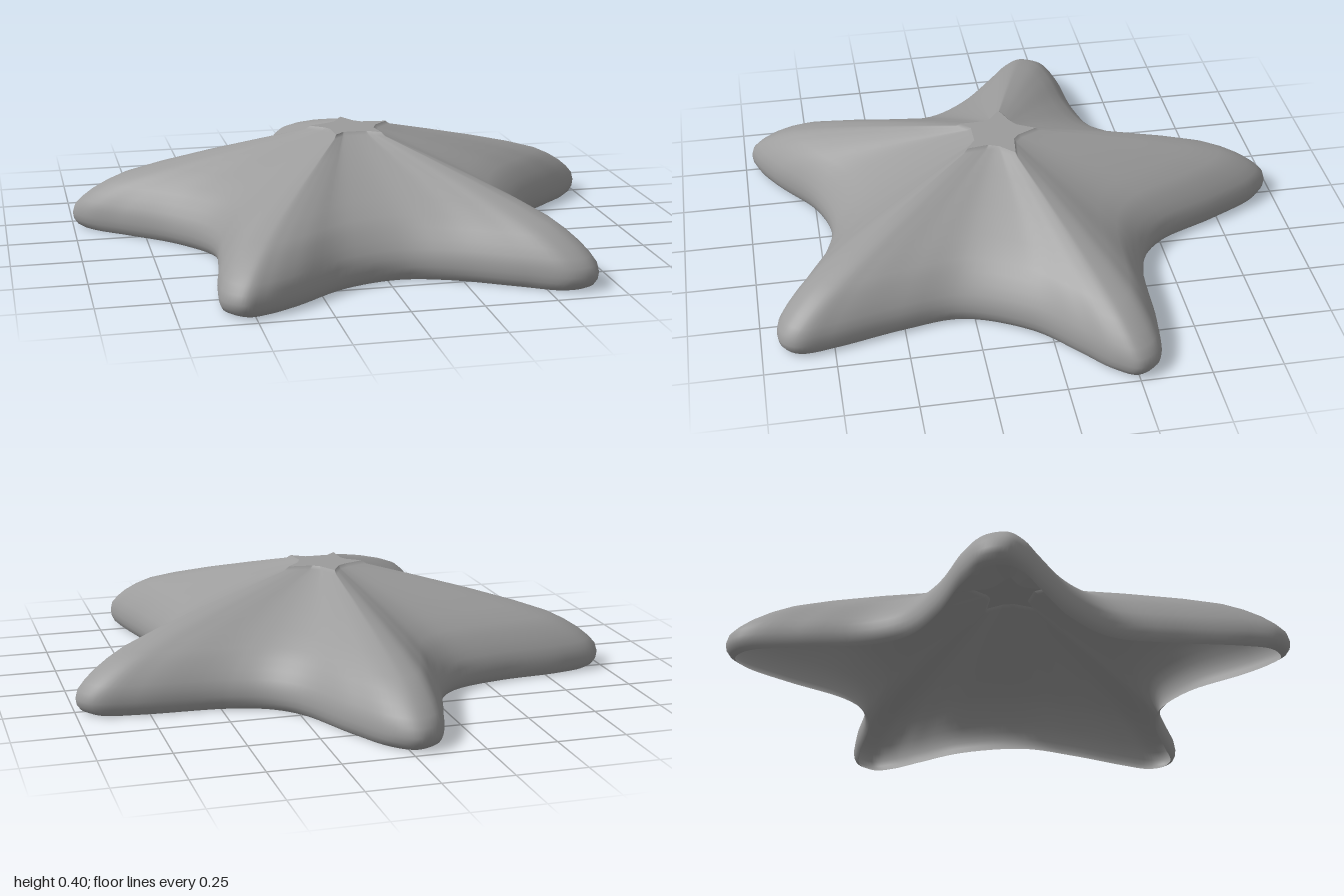
import * as THREE from 'three';

// Outline seen from above as [x, z]; each row runs from an arm's tip to the next valley and on.
const OUTLINE = [
  [-0.03, -0.98], [0.045, -0.93], [0.14, -0.76], [0.25, -0.52], [0.35, -0.425], [0.50, -0.375], [0.80, -0.355], [0.95, -0.325],
  [0.995, -0.25], [0.955, -0.18], [0.85, -0.085], [0.70, 0.06], [0.59, 0.30], [0.615, 0.52], [0.67, 0.76], [0.685, 0.88],
  [0.65, 0.93], [0.57, 0.94], [0.43, 0.865], [0.22, 0.75], [0.045, 0.705], [-0.16, 0.755], [-0.36, 0.895], [-0.47, 0.955],
  [-0.54, 0.97], [-0.60, 0.91], [-0.60, 0.79], [-0.56, 0.54], [-0.55, 0.31], [-0.67, 0.12], [-0.84, -0.03], [-0.96, -0.13],
  [-1.0, -0.20], [-0.96, -0.275], [-0.83, -0.315], [-0.58, -0.34], [-0.38, -0.40], [-0.27, -0.52], [-0.19, -0.74], [-0.11, -0.94],
];

// Flat star on top: each row is a tip followed by the two corners of a blunt valley.
const CAP = [
  [0, -0.07], [0.035, 0], [0.06, 0.02],
  [0.15, 0.03], [0.10, 0.08], [0.083, 0.12],
  [0.095, 0.20], [0.045, 0.165], [-0.04, 0.165],
  [-0.075, 0.20], [-0.077, 0.11], [-0.09, 0.085],
  [-0.14, 0.045], [-0.065, 0.015], [-0.035, -0.005],
];
const TOP = 0.398;

// Side profile: [spread from cap (0) to outline (1), height]
const PROFILE = [
  [0.96, 0], [0.982, 0.01], [0.996, 0.028], [1, 0.05], [0.99, 0.08], [0.962, 0.107],
  [0.92, 0.137], [0.86, 0.17], [0.79, 0.2], [0.65, 0.241], [0.45, 0.291], [0.22, 0.343], [0.02, 0.386], [0, TOP],
];

const SEGMENTS = 240;

function bodyGeometry() {
  const curve = new THREE.CatmullRomCurve3(OUTLINE.map(([x, z]) => new THREE.Vector3(x, 0, z)), true);
  const positions = [];
  const index = [];
  PROFILE.forEach(([spread, y], ring) => {
    for (let j = 0; j < SEGMENTS; j++) {
      const outer = curve.getPoint(j / SEGMENTS);
      // matching point on the straight edges of the cap star
      const u = (j / SEGMENTS) * CAP.length;
      const k = Math.floor(u);
      const from = CAP[k];
      const to = CAP[(k + 1) % CAP.length];
      const cx = THREE.MathUtils.lerp(from[0], to[0], u - k);
      const cz = THREE.MathUtils.lerp(from[1], to[1], u - k);
      positions.push(
        THREE.MathUtils.lerp(cx, outer.x, spread), y, THREE.MathUtils.lerp(cz, outer.z, spread));
      if (ring > 0) {
        const next = (j + 1) % SEGMENTS;
        const a = (ring - 1) * SEGMENTS + j;
        const b = (ring - 1) * SEGMENTS + next;
        const c = ring * SEGMENTS + j;
        const d = ring * SEGMENTS + next;
        index.push(a, c, b, b, c, d);
      }
    }
  });
  const geometry = new THREE.BufferGeometry();
  geometry.setAttribute('position', new THREE.Float32BufferAttribute(positions, 3));
  geometry.setIndex(index);
  geometry.computeVertexNormals();
  return geometry;
}

export function createModel() {
  const group = new THREE.Group();
  group.name = 'starfish';
  const material = new THREE.MeshStandardMaterial({ color: 0x9c9c9c, side: THREE.DoubleSide });

  // Hollow five-armed shell, open underneath
  const body = new THREE.Mesh(bodyGeometry(), material);
  body.name = 'starShell';
  group.add(body);

  // Flat star closing the top
  const shape = new THREE.Shape(CAP.map(([x, z]) => new THREE.Vector2(x, -z)));
  const cap = new THREE.Mesh(new THREE.ShapeGeometry(shape).rotateX(-Math.PI / 2), material);
  cap.position.y = TOP;
  cap.name = 'topCap';
  group.add(cap);

  return group;
}
